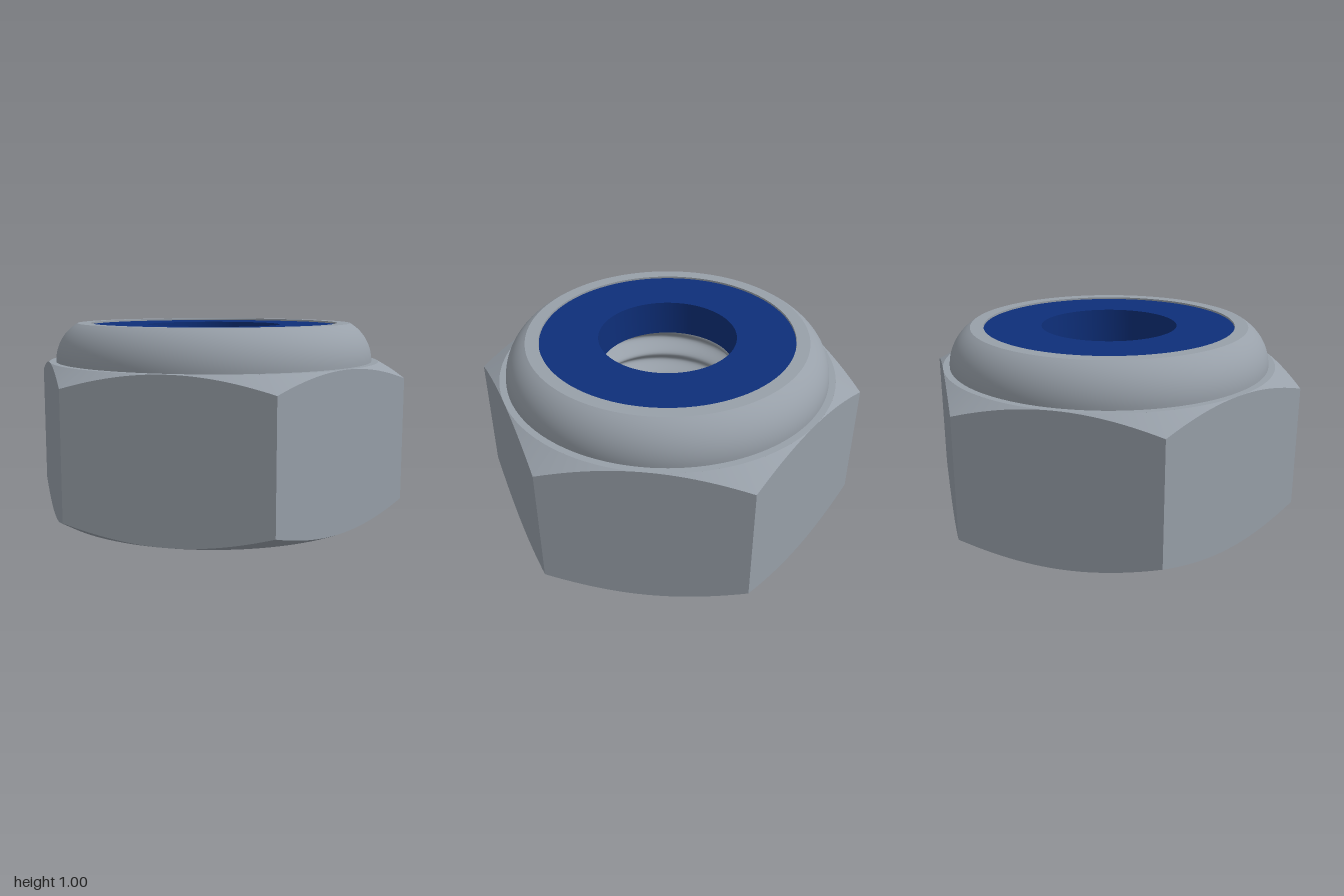
import * as THREE from 'three';
import { mergeGeometries, toCreasedNormals } from 'three/addons/utils/BufferGeometryUtils.js';

const APOTHEM = 0.885;
const CORNER = 1.022;
const HEX_TOP = 0.8;
const BEVEL = 0.08;          // drop of the chamfer at each corner
const FACE_ANGLE = THREE.MathUtils.degToRad(48);

// Smooth surface from fn(u, v) -> [angle, radius, height]
function grid(fn, nu, nv) {
  const pos = [], index = [];
  for (let j = 0; j <= nv; j++) {
    for (let i = 0; i <= nu; i++) {
      const [a, r, y] = fn(i / nu, j / nv);
      pos.push(r * Math.sin(a), y, r * Math.cos(a));
    }
  }
  for (let j = 0; j < nv; j++) {
    for (let i = 0; i < nu; i++) {
      const a = j * (nu + 1) + i, b = a + 1, d = a + nu + 1, c = d + 1;
      index.push(a, b, d, b, c, d);
    }
  }
  const g = new THREE.BufferGeometry();
  g.setAttribute('position', new THREE.Float32BufferAttribute(pos, 3));
  g.setIndex(index);
  g.computeVertexNormals();
  return g;
}

function lathe(points) {
  const g = new THREE.LatheGeometry(points.map(([r, y]) => new THREE.Vector2(r, y)), 128);
  return toCreasedNormals(g, 0.5);
}

export function createModel() {
  const group = new THREE.Group();
  const steel = new THREE.MeshStandardMaterial({ color: 0x98a0a9 });
  steel.name = 'steel';
  const blue = new THREE.MeshStandardMaterial({ color: 0x0e2f7a });
  blue.name = 'blue nylon';

  const add = (name, geometry, material) => {
    const mesh = new THREE.Mesh(geometry, material);
    mesh.name = name;
    group.add(mesh);
  };

  // Hexagon sides, trimmed above and below by conical chamfers
  const sides = [], chamfers = [];
  const drop = (r) => BEVEL * (r - APOTHEM) / (CORNER - APOTHEM);
  for (let k = 0; k < 6; k++) {
    const at = (u) => {
      const t = (u - 0.5) * Math.PI / 3;
      return [FACE_ANGLE + k * Math.PI / 3 + t, APOTHEM / Math.cos(t)];
    };
    sides.push(grid((u, v) => {
      const [a, r] = at(u);
      return [a, r, THREE.MathUtils.lerp(drop(r), HEX_TOP - drop(r), v)];
    }, 24, 1));
    chamfers.push(grid((u, v) => {
      const [a, r] = at(u);
      const rr = THREE.MathUtils.lerp(r, APOTHEM, v);
      return [a, rr, HEX_TOP - drop(rr)];
    }, 24, 1));
    chamfers.push(grid((u, v) => {
      const [a, r] = at(u);
      const rr = THREE.MathUtils.lerp(APOTHEM, r, v);
      return [a, rr, drop(rr)];
    }, 24, 1));
  }
  add('hexSides', mergeGeometries(sides), steel);
  add('hexChamfers', mergeGeometries(chamfers), steel);

  // Flat underside around the countersink
  add('bottomFace', lathe([[0.46, 0], [APOTHEM, 0]]), steel);

  // Rounded collar with a flat lip and a recess for the insert
  const collar = [[APOTHEM, HEX_TOP]];
  for (let i = 0; i <= 14; i++) {
    const t = (i / 14) * Math.asin(0.2 / 0.231);
    collar.push([0.619 + 0.231 * Math.cos(t), HEX_TOP + 0.231 * Math.sin(t)]);
  }
  collar.push([0.665, 1], [0.665, HEX_TOP]);
  add('collar', lathe(collar), steel);

  // Nylon locking ring
  add('lockingInsert', lathe([
    [0.36, 0.8], [0.664, 0.8], [0.664, 0.99], [0.36, 0.99], [0.36, 0.8],
  ]), blue);

  // Right-handed helical thread opening into a countersink
  const pitch = 0.15;
  add('threadedBore', grid((u, v) => {
    const a = u * Math.PI * 2, y = HEX_TOP * (1 - v);
    const wave = 0.5 + 0.5 * Math.cos(2 * Math.PI * y / pitch - a);
    return [a, Math.max(0.37 + 0.08 * wave, 0.46 - 1.15 * y), y];
  }, 96, 96), steel);

  return group;
}
